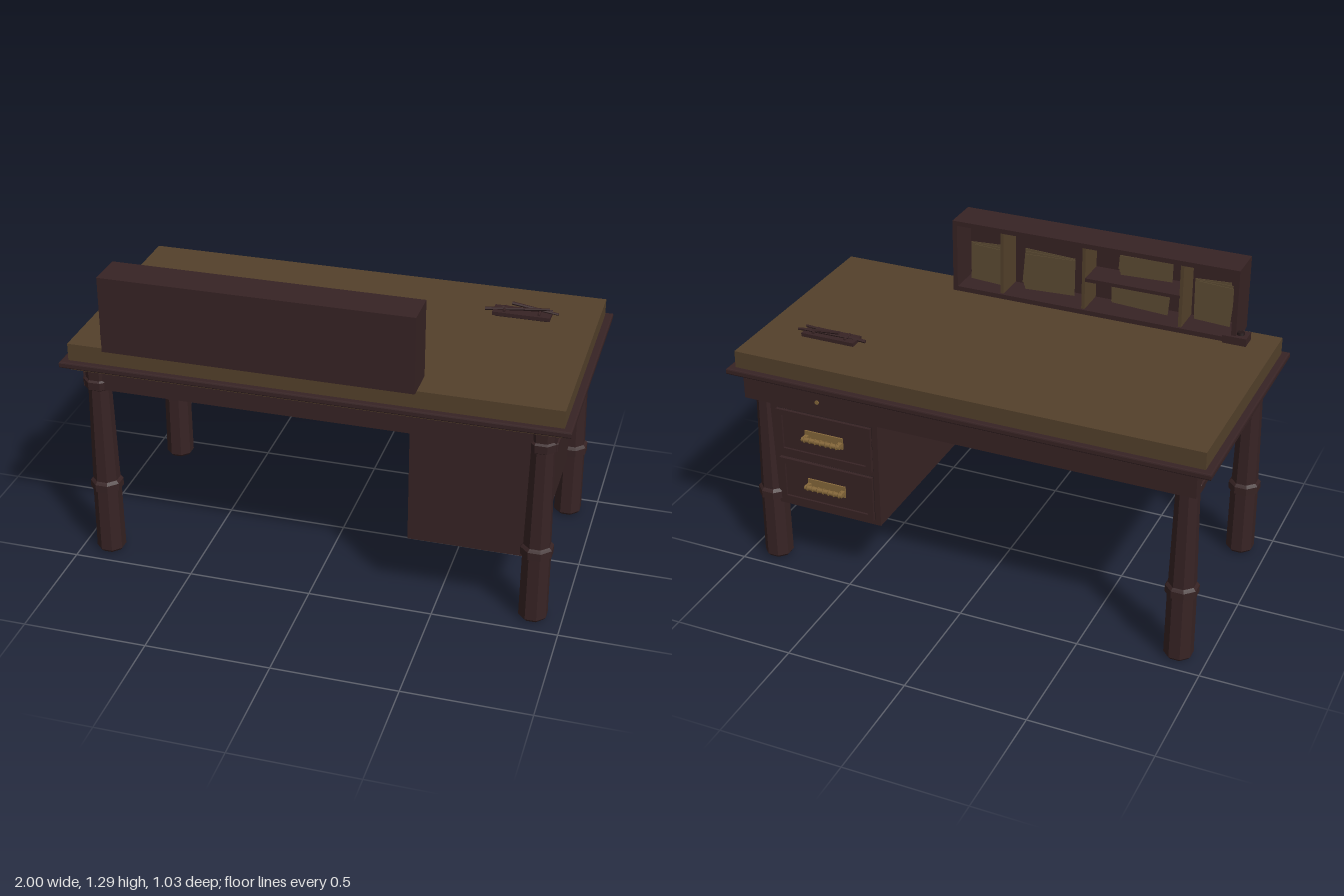
import * as THREE from 'three';

const mat = (name, color) => {
  const m = new THREE.MeshStandardMaterial({ color });
  m.name = name;
  return m;
};

export function createModel() {
  const wood = mat('dark wood', 0x372324);
  const tan = mat('tan top', 0x54412b);
  const paper = mat('old paper', 0x574730);
  const brass = mat('brass', 0x86683a);
  const dark = mat('dark interior', 0x241819);
  const facet = wood;
  facet.flatShading = true;

  const desk = new THREE.Group();
  desk.name = 'desk';

  const add = (parent, name, geo, m, x = 0, y = 0, z = 0) => {
    const mesh = new THREE.Mesh(geo, m);
    mesh.name = name;
    mesh.position.set(x, y, z);
    parent.add(mesh);
    return mesh;
  };
  // box given by its limits on each axis
  const box = (parent, name, m, [x0, x1], [y0, y1], [z0, z1]) =>
    add(parent, name, new THREE.BoxGeometry(x1 - x0, y1 - y0, z1 - z0), m,
      (x0 + x1) / 2, (y0 + y1) / 2, (z0 + z1) / 2);
  const group = (name, parent = desk) => {
    const g = new THREE.Group();
    g.name = name;
    parent.add(g);
    return g;
  };
  // rectangular frame facing z
  const frame = (parent, name, w, h, t, depth, m, x, y, z) => {
    const s = new THREE.Shape([[-w, -h], [w, -h], [w, h], [-w, h]].map(p => new THREE.Vector2(p[0] / 2, p[1] / 2)));
    const a = w / 2 - t, b = h / 2 - t;
    s.holes.push(new THREE.Path([[-a, -b], [-a, b], [a, b], [a, -b]].map(p => new THREE.Vector2(...p))));
    const geo = new THREE.ExtrudeGeometry(s, { depth, bevelEnabled: false });
    return add(parent, name, geo, m, x, y, z);
  };

  // table top with moulded rim
  box(desk, 'top', tan, [-0.97, 0.97], [0.9, 0.972], [-0.485, 0.485]);
  const rim = new THREE.Shape();
  rim.moveTo(-0.994, -0.505).lineTo(0.994, -0.505).lineTo(0.994, 0.505).lineTo(-0.994, 0.505).closePath();
  const rimGeo = new THREE.ExtrudeGeometry(rim, {
    depth: 0.014, bevelThickness: 0.006, bevelSize: 0.006, bevelSegments: 2,
  }).rotateX(-Math.PI / 2);
  add(desk, 'rim', rimGeo, wood, 0, 0.881, 0);
  box(desk, 'underTop', tan, [-0.965, 0.965], [0.858, 0.876], [-0.475, 0.48]);

  // aprons; the back one is a shallow drawer front
  box(desk, 'frontApron', wood, [-0.89, 0.89], [0.765, 0.859], [0.42, 0.443]);
  box(desk, 'backApron', wood, [-0.94, 0.94], [0.77, 0.859], [-0.482, -0.422]);
  for (const s of [-1, 1]) {
    const x = [0.915 * s, 0.938 * s].sort((a, b) => a - b);
    box(desk, 'sideApron', wood, x, [0.765, 0.859], [-0.43, 0.43]);
  }

  // turned octagonal legs
  const profile = [[0, 0.003], [0.049, 0.003], [0.059, 0.015], [0.057, 0.292], [0.066, 0.297],
    [0.066, 0.328], [0.06, 0.335], [0.055, 0.34], [0.046, 0.755], [0.062, 0.765], [0.064, 0.798],
    [0.056, 0.805], [0.06, 0.859]].map(p => new THREE.Vector2(...p));
  const legGeo = new THREE.LatheGeometry(profile, 8, Math.PI / 8);
  for (const x of [-0.884, 0.884]) for (const z of [-0.403, 0.4]) {
    const leg = group('leg');
    leg.position.set(x, 0, z);
    add(leg, 'legShaft', legGeo, wood);
    add(leg, 'footPad', new THREE.CylinderGeometry(0.04, 0.04, 0.006, 8), tan, 0, 0.003, 0);
  }

  // drawer cabinet
  const cabinet = group('drawerCabinet');
  box(cabinet, 'cabinetBody', wood, [0.378, 0.875], [0.278, 0.8], [-0.435, 0.415]);
  for (const y of [0.63, 0.405]) {
    const drawer = group('drawer', cabinet);
    const x = 0.612;
    box(drawer, 'drawerPanel', dark, [x - 0.21, x + 0.21], [y - 0.1, y + 0.1], [-0.439, -0.434]);
    box(drawer, 'drawerFace', wood, [x - 0.19, x + 0.19], [y - 0.082, y + 0.082], [-0.443, -0.434]);
    frame(drawer, 'drawerFrame', 0.42, 0.2, 0.024, 0.016, wood, x, y, -0.452);
    // ridged pull
    box(drawer, 'pullPlate', brass, [x - 0.085, x + 0.085], [y - 0.024, y + 0.026], [-0.449, -0.442]);
    const bar = add(drawer, 'pullBar', new THREE.CylinderGeometry(0.01, 0.01, 0.17, 8), brass, x, y, -0.473);
    bar.rotation.z = Math.PI / 2;
    for (let i = -3; i <= 3; i++) {
      const ridge = add(drawer, 'pullRidge', new THREE.TorusGeometry(0.011, 0.003, 5, 8), brass, x + i * 0.024, y, -0.473);
      ridge.rotation.y = Math.PI / 2;
    }
    for (const s of [-1, 1])
      box(drawer, 'pullPost', brass, [x + s * 0.076 - 0.008, x + s * 0.076 + 0.008], [y - 0.008, y + 0.008], [-0.473, -0.442]);
  }
  const keyhole = add(desk, 'keyhole', new THREE.CylinderGeometry(0.009, 0.009, 0.005, 10), brass, 0.612, 0.82, -0.483);
  keyhole.rotation.x = Math.PI / 2;

  // pigeonhole shelf, open toward the back
  const shelf = group('pigeonholeShelf');
  const zs = [0.362, 0.505];
  box(shelf, 'shelfPanel', wood, [-0.812, 0.418], [0.975, 1.286], [0.5, 0.517]);
  box(shelf, 'shelfTop', wood, [-0.812, 0.418], [1.266, 1.286], zs);
  box(shelf, 'shelfBottom', wood, [-0.812, 0.418], [0.972, 0.992], zs);
  for (const x of [-0.802, 0.408]) box(shelf, 'shelfEnd', wood, [x - 0.01, x + 0.01], [0.975, 1.286], zs);
  for (const x of [-0.575, -0.16, 0.2]) box(shelf, 'divider', tan, [x - 0.007, x + 0.007], [0.99, 1.268], [0.372, 0.502]);
  box(shelf, 'middleShelf', wood, [-0.57, -0.165], [1.115, 1.13], [0.372, 0.502]);

  // papers leaning in the compartments: x, y, width, height, tilt
  for (const [x, y, w, h, tilt] of [[0.3, 1.07, 0.14, 0.15, 0.05], [0.02, 1.075, 0.22, 0.15, -0.04],
    [-0.38, 1.045, 0.24, 0.09, 0.05], [-0.4, 1.18, 0.22, 0.08, -0.03], [-0.69, 1.08, 0.15, 0.16, 0.05]]) {
    for (let i = 0; i < 3; i++) {
      const sheet = add(shelf, 'paper', new THREE.BoxGeometry(w, h, 0.005), paper,
        x + i * 0.008, y + i * 0.003, 0.455 + i * 0.012);
      sheet.rotation.set(0.12, 0, tilt * (1 - i));
    }
  }

  // small ink box at the end of the shelf
  const ink = group('inkBox');
  box(ink, 'inkBase', wood, [-0.858, -0.76], [0.971, 1.005], [0.35, 0.42]);
  add(ink, 'inkCap', new THREE.CylinderGeometry(0.014, 0.017, 0.012, 10), dark, -0.826, 1.01, 0.385);

  // pen tray with pens
  const tray = group('penTray');
  box(tray, 'trayBase', dark, [0.565, 0.78], [0.971, 0.978], [-0.268, -0.212]);
  box(tray, 'trayBody', wood, [0.555, 0.787], [0.977, 0.992], [-0.276, -0.205]);
  for (const [x, y, z, len, yaw, pitch] of [[0.65, 1.0, -0.24, 0.26, 0.03, 0.09],
    [0.72, 1.004, -0.253, 0.19, -0.04, -0.12], [0.69, 0.998, -0.25, 0.2, 0.06, 0.02]]) {
    const pen = group('pen', tray);
    pen.position.set(x, y, z);
    pen.rotation.set(0, yaw, pitch);
    add(pen, 'penShaft', new THREE.CylinderGeometry(0.007, 0.005, len, 6).rotateZ(Math.PI / 2), wood);
  }
  for (const x of [0.6, 0.74]) {
    const rest = add(tray, 'penRest', new THREE.CylinderGeometry(0.006, 0.006, 0.05, 6), wood, x, 0.995, -0.24);
    rest.rotation.x = Math.PI / 2;
  }
  return desk;
}
